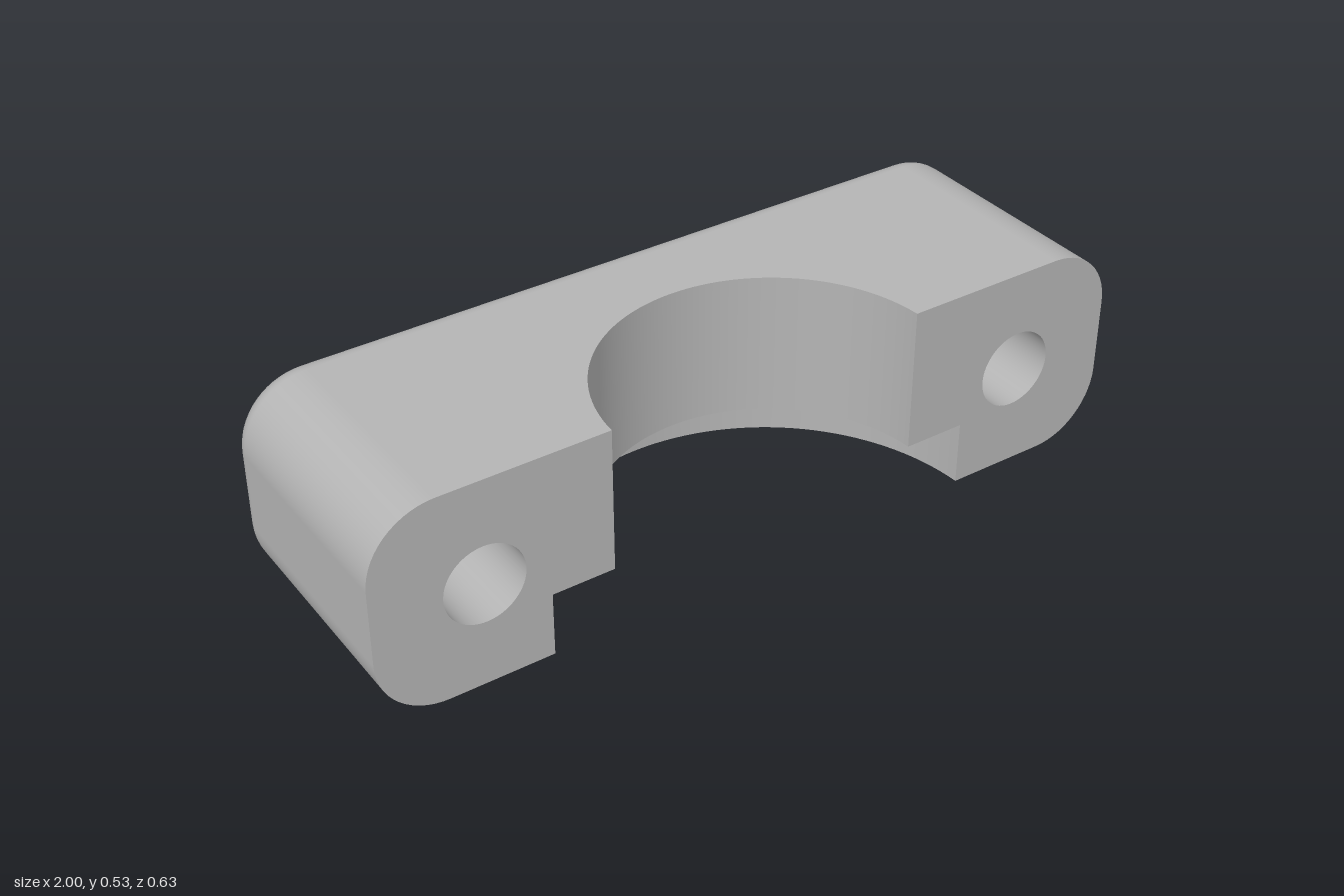
import * as THREE from 'three';

const W = 1, H = 0.533, ZF = 0.316, ZB = -0.316; // half width, height, front and back planes
const CORNER = 0.17, FILLET = 0.062, INSET = 0.047;
const BORE_Z = 0.34, BORE = 0.411, RECESS = 0.57, STEP = 0.165; // clamp bore
const HOLE_X = 0.73, HOLE_Y = H / 2, HOLE = 0.1, SINK = 0.218, SINK_Z = -0.056; // bolt holes

// Smooth surface over a grid; fn(i, j) returns [position, normal]
function patch(nu, nv, fn) {
  const pos = [], nor = [], idx = [];
  for (let i = 0; i <= nu; i++) for (let j = 0; j <= nv; j++) {
    const [p, n] = fn(i, j);
    pos.push(...p);
    nor.push(...n);
  }
  const vec = (a, k) => new THREE.Vector3().fromArray(a, k * 3);
  const o = vec(pos, 0);
  const face = vec(pos, nv + 1).sub(o).cross(vec(pos, 1).sub(o));
  const flip = face.dot(vec(nor, 0)) < 0;
  for (let i = 0; i < nu; i++) for (let j = 0; j < nv; j++) {
    const a = i * (nv + 1) + j, b = a + nv + 1;
    if (flip) idx.push(a, a + 1, b, b, a + 1, b + 1);
    else idx.push(a, b, a + 1, b, b + 1, a + 1);
  }
  const g = new THREE.BufferGeometry();
  g.setAttribute('position', new THREE.Float32BufferAttribute(pos, 3));
  g.setAttribute('normal', new THREE.Float32BufferAttribute(nor, 3));
  g.setIndex(idx);
  return g;
}

// Rounded rectangle as points with outward normals, four corners in turn
const SEG = 14;
function outline() {
  const pts = [];
  for (let c = 0; c < 4; c++) for (let k = 0; k <= SEG; k++) {
    const a = (c - 1 + k / SEG) * Math.PI / 2;
    const cx = (c < 2 ? 1 : -1) * (W - CORNER);
    const cy = c === 1 || c === 2 ? H - CORNER : CORNER;
    const nx = Math.cos(a), ny = Math.sin(a);
    pts.push({ x: cx + nx * CORNER, y: cy + ny * CORNER, nx, ny });
  }
  return pts;
}

// Bore arc as [x, z] points, ending on the front plane
const ARC = 64;
function arc(r) {
  const end = Math.acos((BORE_Z - ZF) / r);
  return Array.from({ length: ARC + 1 }, (_, i) => {
    const a = end * (2 * i / ARC - 1);
    return [r * Math.sin(a), BORE_Z - r * Math.cos(a)];
  });
}

function circlePath(x, y, r) {
  return new THREE.Path().absarc(x, y, r, 0, Math.PI * 2);
}

const toShape = (pts) => new THREE.Shape(pts.map(([x, y]) => new THREE.Vector2(x, y)));

// Horizontal plate from [x, z] points, facing up or down
function level(pts, y, up) {
  const s = up ? -1 : 1;
  const g = new THREE.ShapeGeometry(toShape(pts.map(([x, z]) => [x, s * z])));
  return g.rotateX(s * Math.PI / 2).translate(0, y, 0);
}

export function createModel() {
  const model = new THREE.Group();
  model.name = 'bearingCap';
  const grey = new THREE.MeshStandardMaterial({ color: 0xb4b4b4 });
  grey.name = 'grey';
  const add = (name, geometry) => {
    const m = new THREE.Mesh(geometry, grey);
    m.name = name;
    model.add(m);
  };

  const ring = outline();
  const zEdge = ZB + FILLET;

  // Top and bottom faces, each cut by its bore arc
  const cutFace = (r) => {
    const e = W - CORNER;
    return [[-e, zEdge], [-e, ZF], ...arc(r), [e, ZF], [e, zEdge]];
  };
  add('topFace', level(cutFace(BORE), H, true));
  add('bottomFace', level(cutFace(RECESS), 0, false));

  // Bore, wider recess below it, and the step between them
  const boreWall = (r, y0, y1) => {
    const pts = arc(r);
    return patch(ARC, 1, (i, j) => {
      const [x, z] = pts[i];
      return [[x, j ? y1 : y0, z], [-x / r, 0, (BORE_Z - z) / r]];
    });
  };
  add('boreWall', boreWall(BORE, STEP, H));
  add('recessWall', boreWall(RECESS, 0, STEP));
  add('boreStep', level([...arc(RECESS), ...arc(BORE).reverse()], STEP, false));

  // Rounded edge around the back
  const closed = [...ring, ring[0]];
  const sweep = Math.acos(1 - INSET / FILLET);
  add('backFillet', patch(closed.length - 1, 10, (i, j) => {
    const p = closed[i], t = sweep * j / 10, n = Math.PI / 2 * j / 10;
    const d = FILLET * (1 - Math.cos(t));
    const z = zEdge - FILLET * Math.sin(t) / Math.sin(sweep);
    return [[p.x - p.nx * d, p.y - p.ny * d, z],
      [p.nx * Math.cos(n), p.ny * Math.cos(n), -Math.sin(n)]];
  }));

  // Back face with the two counterbore openings
  const back = toShape(ring.map((p) => [p.x - p.nx * INSET, p.y - p.ny * INSET]));
  for (const s of [1, -1]) back.holes.push(circlePath(s * HOLE_X, HOLE_Y, SINK));
  add('backFace', new THREE.ShapeGeometry(back, 32).rotateY(Math.PI).translate(0, 0, ZB));

  // Both ends: rounded side, front face and bolt hole
  const half = ring.length / 2;
  const boreX = arc(BORE)[ARC][0], recessX = arc(RECESS)[ARC][0];
  for (const s of [1, -1]) {
    const side = s > 0 ? 'left' : 'right';
    const end = ring.slice(0, half);
    add(side + 'EndWall', patch(half - 1, 1, (i, j) => {
      const p = end[i];
      return [[s * p.x, p.y, j ? ZF : zEdge], [s * p.nx, p.ny, 0]];
    }));

    const front = toShape([...end.map((p) => [p.x, p.y]),
      [boreX, H], [boreX, STEP], [recessX, STEP], [recessX, 0]].map(([x, y]) => [s * x, y]));
    front.holes.push(circlePath(s * HOLE_X, HOLE_Y, HOLE));
    add(side + 'FrontFace', new THREE.ShapeGeometry(front, 32).translate(0, 0, ZF));

    const tube = (r, z0, z1) => patch(64, 1, (i, j) => {
      const a = i / 64 * Math.PI * 2, c = Math.cos(a), n = Math.sin(a);
      return [[s * HOLE_X + r * c, HOLE_Y + r * n, j ? z1 : z0], [-c, -n, 0]];
    });
    add(side + 'BoltHole', tube(HOLE, SINK_Z, ZF));
    add(side + 'Counterbore', tube(SINK, ZB, SINK_Z));
    add(side + 'CounterboreFloor', new THREE.RingGeometry(HOLE, SINK, 64)
      .rotateY(Math.PI).translate(s * HOLE_X, HOLE_Y, SINK_Z));
  }
  return model;
}
